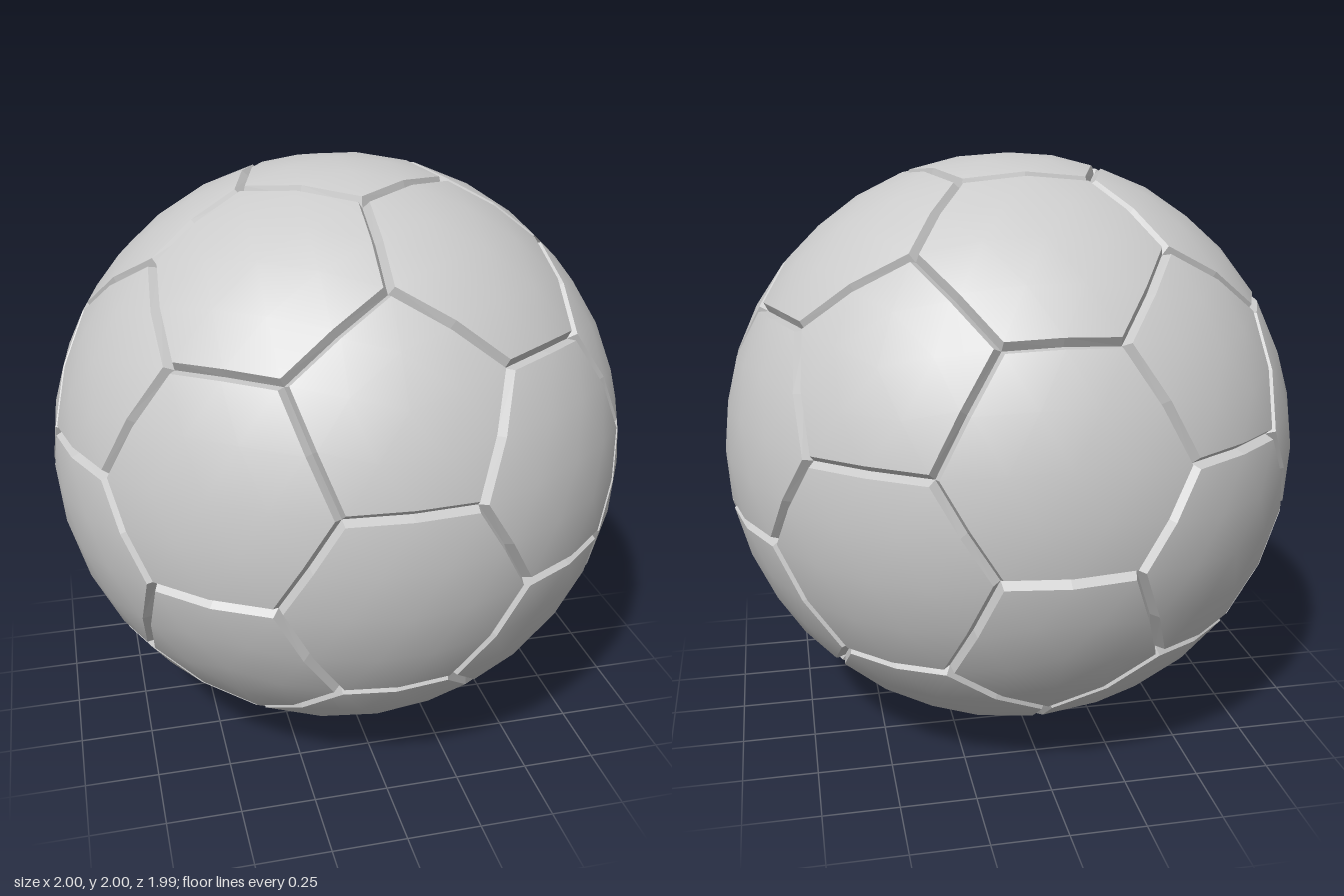
import * as THREE from 'three';

const GROOVE_HALF = 0.0175; // half the groove width
const GROOVE_DEPTH = 0.03;
const material = new THREE.MeshStandardMaterial({ color: 0xcccccc });

// Point a fraction t along the great arc from a to b
function arc(a, b, t) {
  const w = a.angleTo(b);
  return a.clone().multiplyScalar(Math.sin((1 - t) * w))
    .addScaledVector(b, Math.sin(t * w)).divideScalar(Math.sin(w));
}
const mid = (a, b) => a.clone().add(b).normalize();

// Icosahedron standing on one corner, one upper-ring corner facing +z
function icosahedronCorners() {
  const list = [new THREE.Vector3(0, 1, 0), new THREE.Vector3(0, -1, 0)];
  const h = 1 / Math.sqrt(5);
  for (let k = 0; k < 5; k++) {
    const a = k * Math.PI * 2 / 5, b = a + Math.PI / 5;
    list.push(new THREE.Vector3(Math.sin(a) * 2 * h, h, Math.cos(a) * 2 * h));
    list.push(new THREE.Vector3(Math.sin(b) * 2 * h, -h, Math.cos(b) * 2 * h));
  }
  return list;
}

// One domed panel with walls sloping into the groove
function makePanel(name, corners) {
  const centre = corners.reduce((s, c) => s.add(c), new THREE.Vector3()).normalize();
  // order the corners anticlockwise around the centre
  const u = corners[0].clone().projectOnPlane(centre).normalize();
  const v = centre.clone().cross(u);
  const angle = (p) => Math.atan2(p.dot(v), p.dot(u));
  const rim = [...corners].sort((a, b) => angle(a) - angle(b));
  const n = rim.length;

  // inset the rim by the same amount from every side
  const inward = rim.map((c, i) => c.clone().cross(rim[(i + 1) % n]).normalize());
  const lip = rim.map((c, i) => {
    const n1 = inward[i], n2 = inward[(i + n - 1) % n];
    return c.clone().addScaledVector(n1.clone().add(n2), GROOVE_HALF / (1 + n1.dot(n2))).normalize();
  });

  const positions = [], normals = [];
  const dome = (...pts) => pts.forEach((p) => {
    positions.push(p.x, p.y, p.z);
    normals.push(p.x, p.y, p.z);
  });
  const flat = (a, b, c) => {
    const nm = b.clone().sub(a).cross(c.clone().sub(a)).normalize();
    [a, b, c].forEach((p) => {
      positions.push(p.x, p.y, p.z);
      normals.push(nm.x, nm.y, nm.z);
    });
  };
  const sink = (p) => p.clone().multiplyScalar(1 - GROOVE_DEPTH);

  for (let i = 0; i < n; i++) {
    const j = (i + 1) % n, a = lip[i], b = lip[j];
    const ab = mid(a, b), ca = mid(centre, a), cb = mid(centre, b);
    // smooth outer surface
    dome(centre, ca, cb);
    dome(ca, a, ab);
    dome(ca, ab, cb);
    dome(cb, ab, b);
    // bevelled walls, two segments per side
    const top = [a, ab, b];
    const low = [rim[i], mid(rim[i], rim[j]), rim[j]].map(sink);
    for (let s = 0; s < 2; s++) {
      flat(top[s], low[s], low[s + 1]);
      flat(top[s], low[s + 1], top[s + 1]);
    }
  }
  const geometry = new THREE.BufferGeometry();
  geometry.setAttribute('position', new THREE.Float32BufferAttribute(positions, 3));
  geometry.setAttribute('normal', new THREE.Float32BufferAttribute(normals, 3));
  const mesh = new THREE.Mesh(geometry, material);
  mesh.name = name;
  return mesh;
}

export function createModel() {
  const model = new THREE.Group();
  model.name = 'football';
  const ball = new THREE.Group();
  ball.name = 'panels';
  ball.position.y = 1;
  model.add(ball);

  const ico = icosahedronCorners();
  const near = (a, b) => a !== b && a.dot(b) > 0.4;

  // 12 pentagons, one around each icosahedron corner
  ico.forEach((p) => {
    const corners = ico.filter((q) => near(p, q)).map((q) => arc(p, q, 1 / 3));
    ball.add(makePanel('pentagonPanel', corners));
  });

  // 20 hexagons, one on each icosahedron face
  for (let i = 0; i < 12; i++) for (let j = i + 1; j < 12; j++) for (let k = j + 1; k < 12; k++) {
    const [a, b, c] = [ico[i], ico[j], ico[k]];
    if (!(near(a, b) && near(b, c) && near(a, c))) continue;
    const corners = [[a, b], [b, c], [c, a]].flatMap(([p, q]) => [arc(p, q, 1 / 3), arc(p, q, 2 / 3)]);
    ball.add(makePanel('hexagonPanel', corners));
  }
  return model;
}
